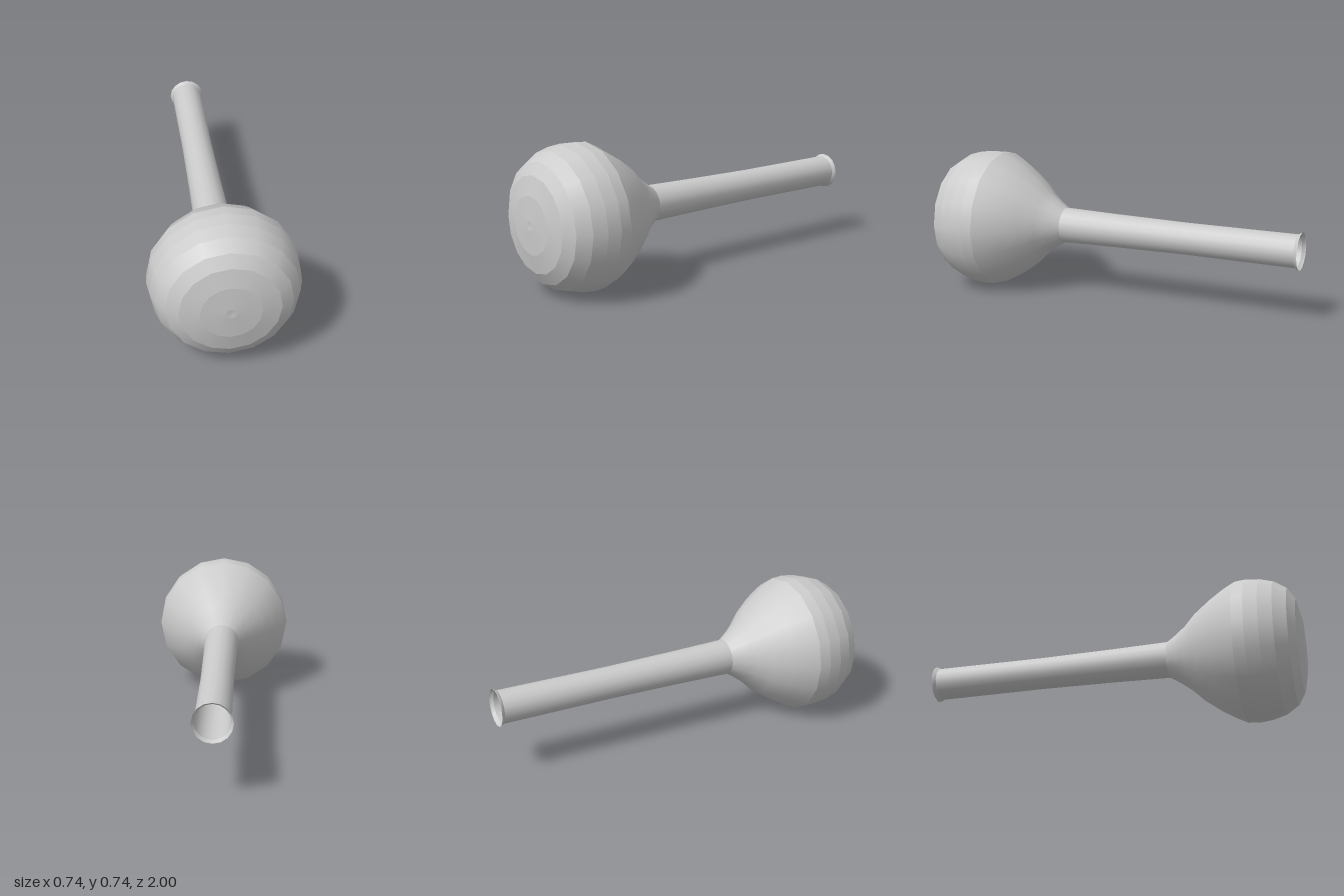
import * as THREE from 'three';
import { mergeGeometries } from 'three/addons/utils/BufferGeometryUtils.js';

const SIDES = 16;
const AXIS_HEIGHT = 0.37;

// Surface of revolution about the z axis; profile points are [radius, z], back to front
function turned(profile) {
  const points = profile.map(([r, z]) => new THREE.Vector2(r, z));
  return new THREE.LatheGeometry(points, SIDES).rotateX(Math.PI / 2);
}

// One strip per profile step, so each band meets the next at a crisp edge
function banded(profile) {
  return mergeGeometries(profile.slice(1).map((p, i) => turned([profile[i], p])));
}

export function createModel() {
  const group = new THREE.Group();
  group.name = 'flask';
  const glass = new THREE.MeshStandardMaterial({ color: 0xcccccc, side: THREE.DoubleSide });

  const add = (name, geometry) => {
    const mesh = new THREE.Mesh(geometry, glass);
    mesh.name = name;
    mesh.position.y = AXIS_HEIGHT;
    group.add(mesh);
  };

  // Flared open mouth
  add('lip', turned([[0.096, -1], [0.094, -0.993], [0.085, -0.982]]));

  // Long, slightly tapering tube
  add('neck', turned([[0.085, -0.982], [0.083, -0.4], [0.088, 0], [0.094, 0.29]]));

  // Smooth slope from the neck to the bulb
  add('shoulder', turned([
    [0.094, 0.29], [0.13, 0.345], [0.172, 0.4], [0.232, 0.46],
    [0.295, 0.545], [0.335, 0.61], [0.365, 0.67],
  ]));

  // Round bulb closing in a shallow base
  add('bulb', banded([
    [0.365, 0.67], [0.37, 0.73], [0.362, 0.8], [0.342, 0.87],
    [0.3, 0.935], [0.24, 0.972], [0.145, 0.993], [0.025, 1], [0, 0.998],
  ]));

  return group;
}
